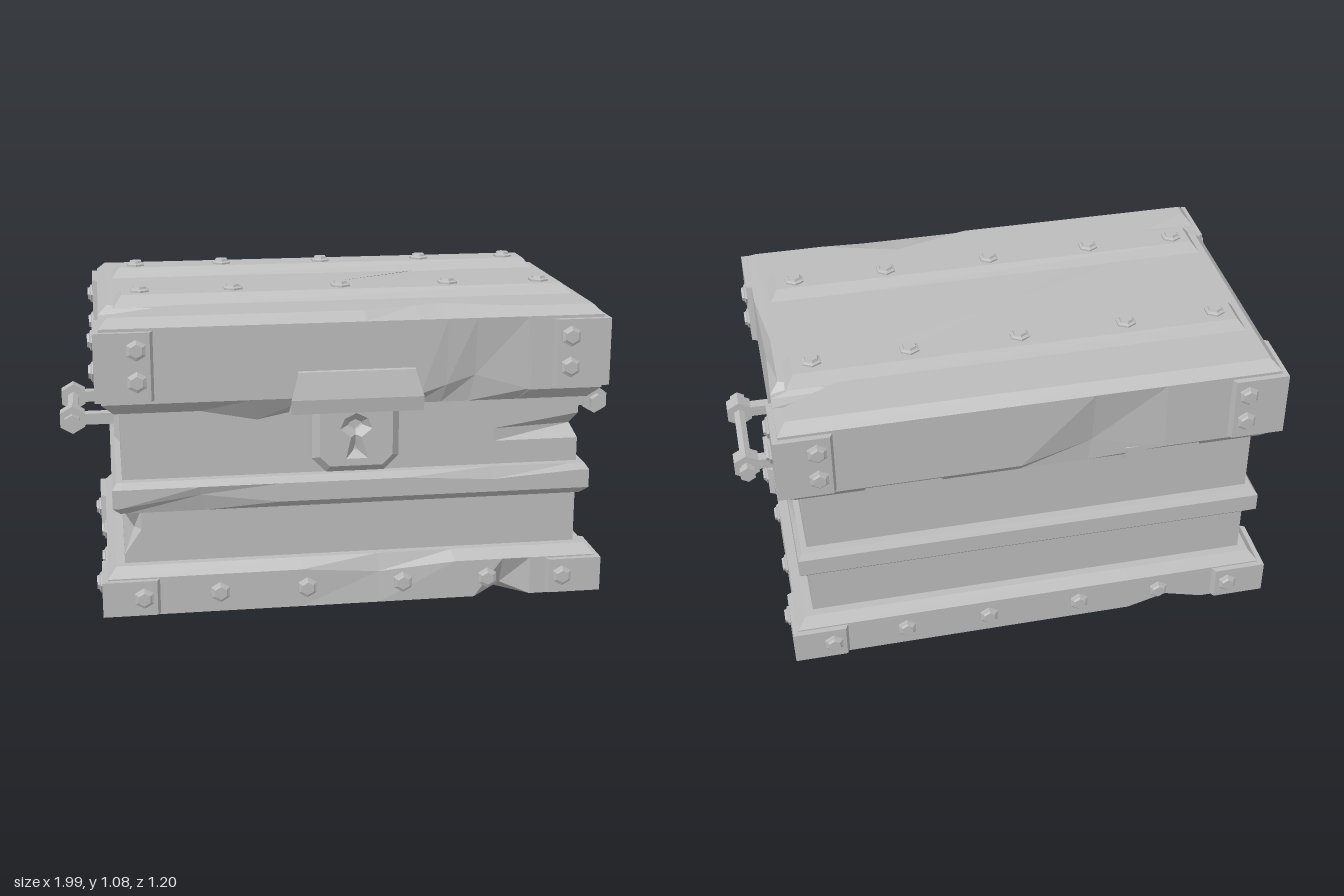
import * as THREE from 'three';

const metal = new THREE.MeshStandardMaterial({ color: 0xbcbcbc, flatShading: true });
metal.name = 'plain grey';

// Stacked rectangular rings [y, halfX, halfZ], closed at both ends.
// A chip is [ring, axis along the edge, side, centre, halfLength, [dx, dy, dz]]:
// it pulls that ring's edge by the offset, fading to nothing at both ends.
function tier(rings, chips = []) {
  const cuts = (axis, side, half) => {
    const out = [-half];
    for (const [, a, s, c, h] of chips) {
      if (a === axis && s === side) out.push(c - h, c, c + h);
    }
    return [...new Set(out)].filter(v => v >= -half && v < half).sort((a, b) => a - b);
  };
  const [, bx, bz] = rings.reduce((m, r) => (r[1] > m[1] ? r : m));
  const cx = s => cuts('x', s, bx).map(v => v / bx);
  const cz = s => cuts('z', s, bz).map(v => v / bz);
  const flip = list => [1, ...list.slice(1).reverse()];
  // Counter-clockwise seen from above: front, left, back, right
  const unit = [
    ...cx(1).map(u => [u, 1]), ...flip(cz(1)).map(u => [1, u]),
    ...flip(cx(-1)).map(u => [u, -1]), ...cz(-1).map(u => [-1, u]),
  ];
  const loops = rings.map(([y, hx, hz], r) => unit.map(([u, v]) => {
    const p = new THREE.Vector3(u * hx, y, v * hz);
    for (const [ring, axis, side, c, h, d] of chips) {
      if (ring !== r || (axis === 'x' ? v : u) !== side) continue;
      const w = Math.max(0, 1 - Math.abs((axis === 'x' ? u * bx : v * bz) - c) / h);
      p.add(new THREE.Vector3(...d).multiplyScalar(w));
    }
    return p;
  }));
  const pts = [];
  const n = unit.length;
  const last = loops.length - 1;
  const low = new THREE.Vector3(0, rings[0][0], 0);
  const high = new THREE.Vector3(0, rings[last][0], 0);
  for (let i = 0; i < n; i++) {
    const j = (i + 1) % n;
    for (let r = 0; r < last; r++) {
      const a = loops[r][i], b = loops[r][j], c = loops[r + 1][j], d = loops[r + 1][i];
      pts.push(a, b, c, a, c, d);
    }
    pts.push(low, loops[0][j], loops[0][i], high, loops[last][i], loops[last][j]);
  }
  const g = new THREE.BufferGeometry().setFromPoints(pts);
  g.computeVertexNormals();
  return g;
}

// Plate rising along +y whose top is inset on all sides
const slab = (w, d, h, inset) => tier([[0, w / 2, d / 2], [h, w / 2 - inset, d / 2 - inset]]);

// Profile in (z, y) swept along x
function sweep(profile, width) {
  const g = new THREE.ExtrudeGeometry(new THREE.Shape(profile.map(([z, y]) => new THREE.Vector2(-z, y))),
    { depth: width, bevelEnabled: false });
  return g.translate(0, 0, -width / 2).rotateY(Math.PI / 2);
}

export function createModel() {
  const chest = new THREE.Group();
  chest.name = 'chest';
  const add = (name, geo, parent = chest) => {
    const m = new THREE.Mesh(geo, metal);
    m.name = name;
    parent.add(m);
    return m;
  };

  // Main tiers with their chipped edges
  add('body', tier([[0.1, 0.79, 0.5], [0.2, 0.79, 0.5], [0.29, 0.79, 0.5], [0.36, 0.79, 0.5],
    [0.55, 0.79, 0.5], [0.595, 0.79, 0.5], [0.64, 0.79, 0.5], [0.75, 0.79, 0.5]], [
    [2, 'x', 1, -0.79, 0.06, [0.035, 0, -0.03]],
    [5, 'x', 1, 0.79, 0.3, [-0.02, 0, -0.04]],
  ]));
  add('base', tier([[0, 0.85, 0.56], [0.135, 0.85, 0.56], [0.17, 0.82, 0.53]], [
    [0, 'x', 1, 0.52, 0.1, [0, 0.035, -0.04]],
    [0, 'z', 1, 0.25, 0.12, [-0.04, 0.045, 0]],
    [1, 'x', 1, 0.08, 0.27, [0, -0.025, -0.01]],
    [0, 'x', -1, -0.5, 0.14, [0, 0.04, -0.0]],
  ]));
  add('middleBand', tier([[0.355, 0.8, 0.52], [0.38, 0.825, 0.545], [0.445, 0.825, 0.545], [0.467, 0.81, 0.53]], [
    [1, 'x', 1, -0.53, 0.27, [0, 0.035, -0.01]],
    [2, 'x', 1, 0.48, 0.3, [0, -0.02, 0]],
    [2, 'z', 1, -0.18, 0.17, [0, -0.025, 0]],
  ]));
  add('lid', tier([[0.705, 0.81, 0.525], [0.745, 0.85, 0.56], [1.0, 0.85, 0.56], [1.03, 0.82, 0.52]], [
    [1, 'x', 1, 0.41, 0.19, [0, 0.055, -0.02]],
    [0, 'x', 1, -0.35, 0.2, [0, -0.04, -0.01]],
    [1, 'x', -1, -0.2, 0.25, [0, 0.05, 0.03]],
    [2, 'z', 1, -0.05, 0.3, [-0.01, -0.04, 0]],
    [3, 'z', 1, -0.4, 0.08, [-0.2, -0.01, 0]],
    [3, 'x', 1, 0.31, 0.28, [0, 0, -0.08]],
    [3, 'z', -1, 0.42, 0.09, [0.2, -0.005, 0]],
  ]));

  // Hexagonal bolts: a flange and a small raised head
  const boltGeo = new THREE.LatheGeometry([[0.036, -0.005], [0.036, 0.006], [0.026, 0.01], [0.023, 0.018], [0, 0.018]]
    .map(([x, y]) => new THREE.Vector2(x, y)), 6);
  const up = new THREE.Vector3(0, 1, 0);
  const bolt = (x, y, z, nx, ny, nz) => {
    const m = add('bolt', boltGeo);
    m.position.set(x, y, z);
    m.quaternion.setFromUnitVectors(up, new THREE.Vector3(nx, ny, nz));
  };

  // Lid straps
  for (const s of [-1, 1]) {
    add('lidStrap', slab(1.6, 0.17, 0.04, 0.032)).position.set(0, 1.024, s * 0.262);
    for (const x of [-0.705, -0.385, -0.01, 0.37, 0.7]) bolt(x, 1.064, s * 0.255, 0, 1, 0);
  }

  // Corner plates on base and lid
  const footprint = [[0.67, 0.55], [0.685, 0.58], [0.87, 0.58], [0.87, 0.365], [0.84, 0.35], [0.67, 0.35]];
  for (const sx of [-1, 1]) for (const sz of [-1, 1]) {
    for (const [y, h, rows] of [[0.007, 0.123, [0.07]], [0.757, 0.233, [0.825, 0.932]]]) {
      const shape = new THREE.Shape(footprint.map(([x, z]) => new THREE.Vector2(sx * x, -sz * z)));
      const g = new THREE.ExtrudeGeometry(shape, { depth: h, bevelEnabled: false });
      add('cornerPlate', g.rotateX(-Math.PI / 2)).position.y = y;
      for (const by of rows) {
        bolt(sx * 0.73, by, sz * 0.58, 0, 0, sz);
        bolt(sx * 0.87, by, sz * 0.41, sx, 0, 0);
      }
    }
  }

  // Bolts between the base corners
  for (const s of [-1, 1]) {
    for (const x of [-0.47, -0.17, 0.165, 0.465]) bolt(x, 0.07, s * 0.56, 0, 0, s);
    for (const z of [0.16, -0.135]) bolt(s * 0.85, 0.07, z, s, 0, 0);
  }

  // Lock with a keyhole
  const lockShape = (w, top, bottom, cut) => new THREE.Shape([[-w, top], [-w, bottom + cut], [-w + cut, bottom],
    [w - cut, bottom], [w, bottom + cut], [w, top]].map(p => new THREE.Vector2(...p)));
  const face = lockShape(0.125, 0.72, 0.5, 0.035);
  face.holes.push(new THREE.Path([[-0.035, 0.525], [0.04, 0.525], [0.018, 0.6], [0.055, 0.63], [0.04, 0.665],
    [0, 0.685], [-0.04, 0.665], [-0.055, 0.63], [-0.018, 0.6]].map(p => new THREE.Vector2(...p))));
  add('lockPlate', new THREE.ExtrudeGeometry(face, {
    depth: 0.03, bevelThickness: 0.025, bevelSize: 0.025, bevelSegments: 1, bevelOffset: 0,
  })).position.z = 0.5;
  // Smaller bevel opening is backed by the body behind it
  add('lockBack', new THREE.ExtrudeGeometry(lockShape(0.12, 0.7, 0.5, 0.03),
    { depth: 0.02, bevelEnabled: false })).position.z = 0.49;

  // Hasp over the lock: sloping cover that narrows toward its top
  const hasp = sweep([[0.5, 0.69], [0.585, 0.695], [0.592, 0.745], [0.572, 0.835], [0.55, 0.84], [0.5, 0.84]], 0.45);
  const hp = hasp.attributes.position;
  for (let i = 0; i < hp.count; i++) if (hp.getY(i) > 0.8) hp.setX(i, hp.getX(i) * 0.88);
  hasp.computeVertexNormals();
  add('hasp', hasp);

  // Hinges under the back edge of the lid
  for (const x of [-0.45, 0.45]) {
    add('hinge', sweep([[-0.49, 0.665], [-0.49, 0.75], [-0.55, 0.75], [-0.55, 0.7]], 0.26)).position.x = x;
  }

  // Side handles
  for (const s of [-1, 1]) {
    const handle = new THREE.Group();
    handle.name = s > 0 ? 'leftHandle' : 'rightHandle';
    handle.position.y = 0.595;
    if (s < 0) handle.rotation.y = Math.PI;
    chest.add(handle);
    const plate = add('handlePlate', slab(0.16, 0.48, 0.03, 0.025), handle);
    plate.rotation.z = -Math.PI / 2;
    plate.position.x = 0.78;
    const hexBar = (name, r, len, z) => {
      const m = add(name, new THREE.CylinderGeometry(r, r, len, 6), handle);
      m.rotation.x = Math.PI / 2;
      m.position.set(0.953, 0, z);
    };
    hexBar('handleBar', 0.022, 0.44, 0);
    for (const z of [-0.157, 0.157]) {
      add('handleArm', new THREE.BoxGeometry(0.16, 0.04, 0.04), handle).position.set(0.86, 0, z);
      hexBar('handleRing', 0.05, 0.055, z);
      hexBar('handleEnd', 0.03, 0.025, Math.sign(z) * 0.215);
    }
  }
  return chest;
}
